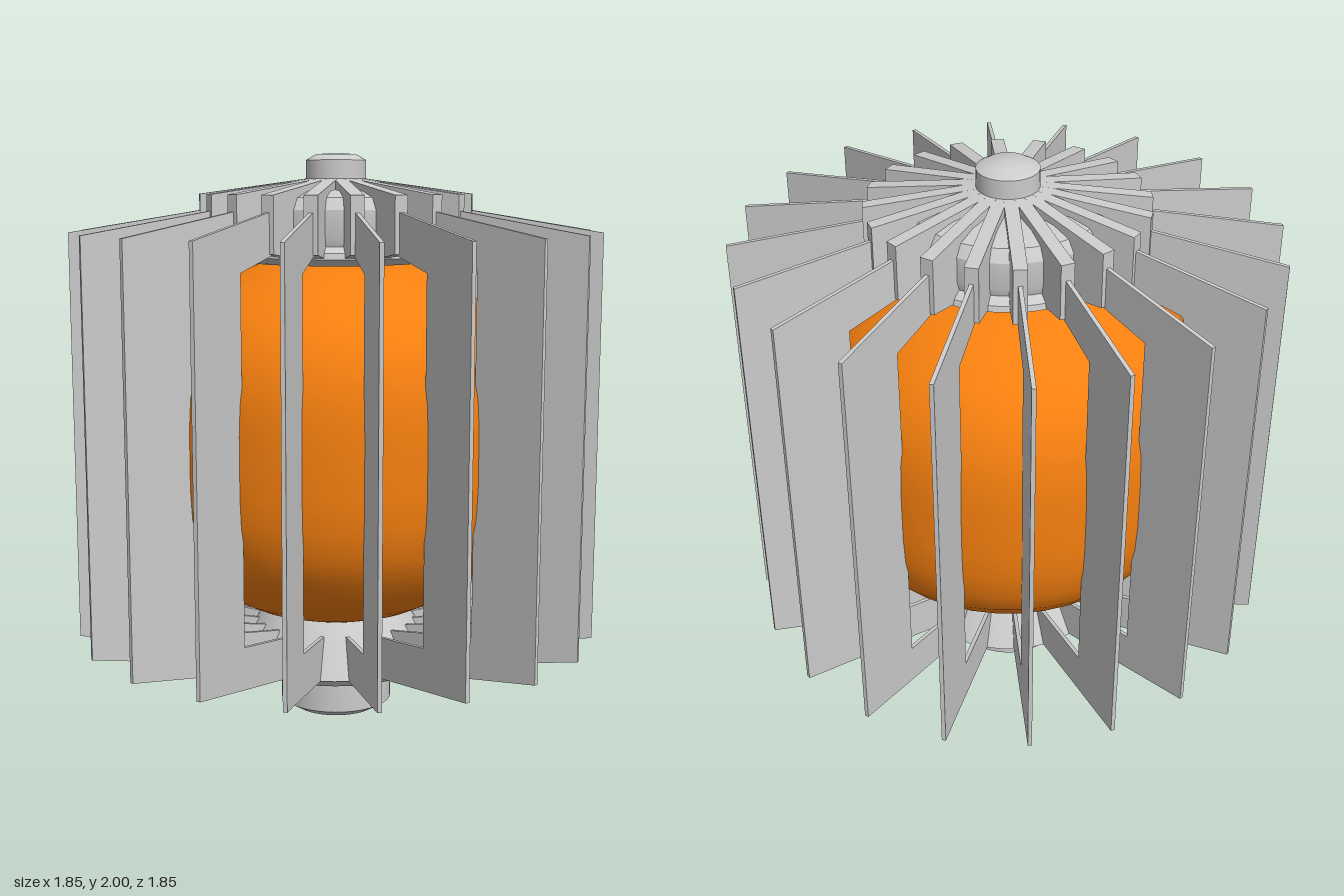
import * as THREE from 'three';
import { toCreasedNormals } from 'three/addons/utils/BufferGeometryUtils.js';

const FINS = 20;
const grey = new THREE.MeshStandardMaterial({ color: 0xcccccc });
const orange = new THREE.MeshStandardMaterial({ color: 0xf57f0f });

// Solid of revolution from [radius, y] points, listed bottom to top
function turned(name, profile, material, crease = 0.5) {
  const points = profile.map(([r, y]) => new THREE.Vector2(r, y));
  const mesh = new THREE.Mesh(toCreasedNormals(new THREE.LatheGeometry(points, 40), crease), material);
  mesh.name = name;
  return mesh;
}

// Flat plate with a radial [radius, y] outline, repeated around the axis
function radialPlates(name, outline, thickness) {
  const shape = new THREE.Shape(outline.map(([r, y]) => new THREE.Vector2(r, y)));
  const geometry = new THREE.ExtrudeGeometry(shape, { depth: thickness, bevelEnabled: false });
  geometry.translate(0, 0, -thickness / 2);
  const group = new THREE.Group();
  group.name = name + 's';
  for (let i = 0; i < FINS; i++) {
    const plate = new THREE.Mesh(geometry, grey);
    plate.name = name;
    plate.rotation.y = (i / FINS) * Math.PI * 2;
    group.add(plate);
  }
  return group;
}

export function createModel() {
  const model = new THREE.Group();
  model.name = 'finnedCapsule';

  // Rounded core, symmetric about its middle height
  const middle = 1.003;
  const upper = [[0.675, 0.1], [0.668, 0.2], [0.645, 0.3], [0.6, 0.39], [0.54, 0.46],
    [0.47, 0.515], [0.4, 0.558], [0.32, 0.597], [0.25, 0.62], [0.18, 0.627], [0, 0.627]];
  const core = [
    ...upper.map(([r, h]) => [r, middle - h]).reverse(),
    ...upper.map(([r, h]) => [r, middle + h]),
  ];
  model.add(turned('core', core, orange, 0.9));

  // Base plug, flange and the tapered neck under the core
  model.add(turned('basePlug', [[0, 0], [0.15, 0.005], [0.2, 0.035], [0.2, 0.19]], grey));
  model.add(turned('baseFlange', [[0, 0.178], [0.33, 0.178], [0.355, 0.205], [0.345, 0.215], [0, 0.215]], grey));
  model.add(turned('lowerNeck', [[0.36, 0.205], [0.28, 0.345], [0.25, 0.385], [0, 0.385]], grey));

  // Upper collar and top knob
  model.add(turned('upperCollar', [[0, 1.625], [0.31, 1.625], [0.37, 1.65], [0.365, 1.67], [0.335, 1.69],
    [0.345, 1.72], [0.345, 1.81], [0.32, 1.85], [0.25, 1.87], [0, 1.88]], grey));
  model.add(turned('topKnob', [[0.105, 1.88], [0.105, 1.975], [0.07, 1.995], [0, 2]], grey));

  // Thick brackets radiating from the collar
  model.add(radialPlates('bracket', [[0, 1.66], [0.34, 1.65], [0.475, 1.67], [0.475, 1.86],
    [0.1, 1.912], [0, 1.912]], 0.046));

  // Thin C-shaped fins joining the brackets to the base
  model.add(radialPlates('fin', [[0.22, 0.185], [0.33, 0.2], [0.925, 0.3], [0.925, 1.73], [0.44, 1.81],
    [0.44, 1.67], [0.655, 1.62], [0.655, 0.4], [0.28, 0.34], [0.22, 0.33]], 0.014));

  return model;
}
